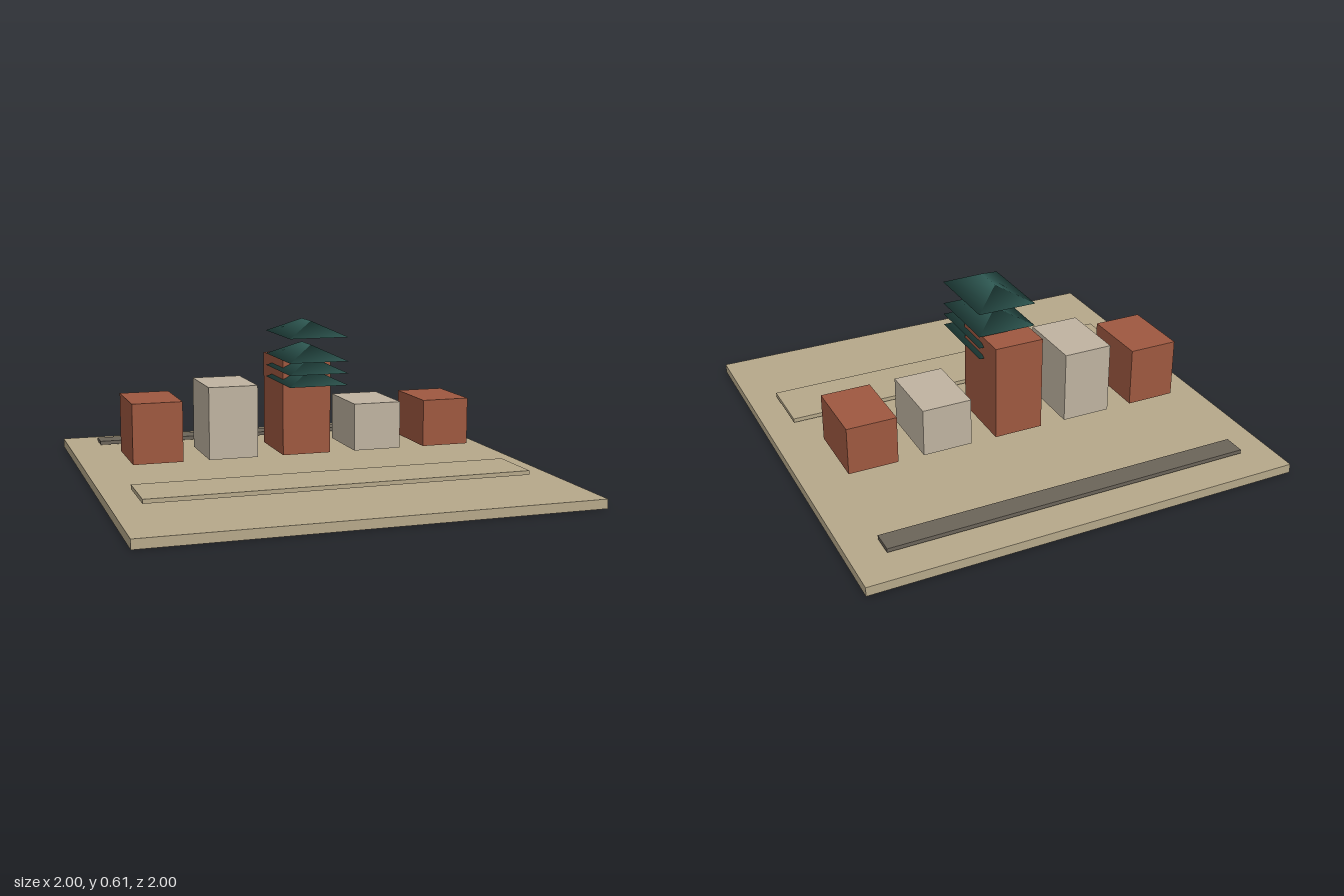
import * as THREE from 'three';

const mat = (color) => new THREE.MeshStandardMaterial({ color });
const SAND = mat(0xb6a88a), BRICK = mat(0x9e5840), STONE = mat(0xbfb3a0);
const ASPHALT = mat(0x6b6459), ROOF = mat(0x2f5a54);

// Box placed by its floor height and top height
function block(name, material, w, d, x, z, y0, y1) {
  const mesh = new THREE.Mesh(new THREE.BoxGeometry(w, y1 - y0, d), material);
  mesh.name = name;
  mesh.position.set(x, (y0 + y1) / 2, z);
  return mesh;
}

// Hipped roof with a ridge along z, closed below, smooth shared normals
function hipRoof(w, d, h, ridge) {
  const x = w / 2, z = d / 2, r = ridge / 2;
  const geo = new THREE.BufferGeometry();
  geo.setAttribute('position', new THREE.Float32BufferAttribute([
    -x, 0, -z, x, 0, -z, x, 0, z, -x, 0, z, 0, h, -r, 0, h, r,
  ], 3));
  geo.setIndex([
    2, 1, 4, 2, 4, 5, // left slope
    0, 3, 5, 0, 5, 4, // right slope
    3, 2, 5, 1, 0, 4, // hips
    0, 1, 2, 0, 2, 3, // underside
  ]);
  geo.computeVertexNormals();
  return geo;
}

export function createModel() {
  const model = new THREE.Group();
  model.name = 'marketSquare';

  // The whole site is turned on its plot
  const site = new THREE.Group();
  site.name = 'site';
  site.rotation.y = -0.2195;
  model.add(site);

  // Ground slab, raised forecourt and rear road
  site.add(block('ground', SAND, 1.675, 1.675, 0, 0, 0, 0.035));
  site.add(block('forecourt', SAND, 1.46, 0.23, 0, 0.344, 0.047, 0.063));
  site.add(block('road', ASPHALT, 1.42, 0.085, 0, -0.661, 0.042, 0.057));

  // Row of five buildings in alternating colours
  [0.315, 0.363, 0.455, 0.27, 0.27].forEach((top, i) => {
    site.add(block('building' + (i + 1), i % 2 ? STONE : BRICK,
      0.192, 0.272, (i - 2) * 0.293, -0.128, 0.084, top));
  });

  // Tiered roofs of the central tower
  const roofGeo = hipRoof(0.23, 0.327, 0.055, 0.115);
  const roofs = new THREE.Group();
  roofs.name = 'tieredRoofs';
  [0.372, 0.417, 0.463, 0.554].forEach((y, i) => {
    const roof = new THREE.Mesh(roofGeo, ROOF);
    roof.name = 'roofTier' + (i + 1);
    roof.position.y = y;
    roofs.add(roof);
  });
  site.add(roofs);

  return model;
}
